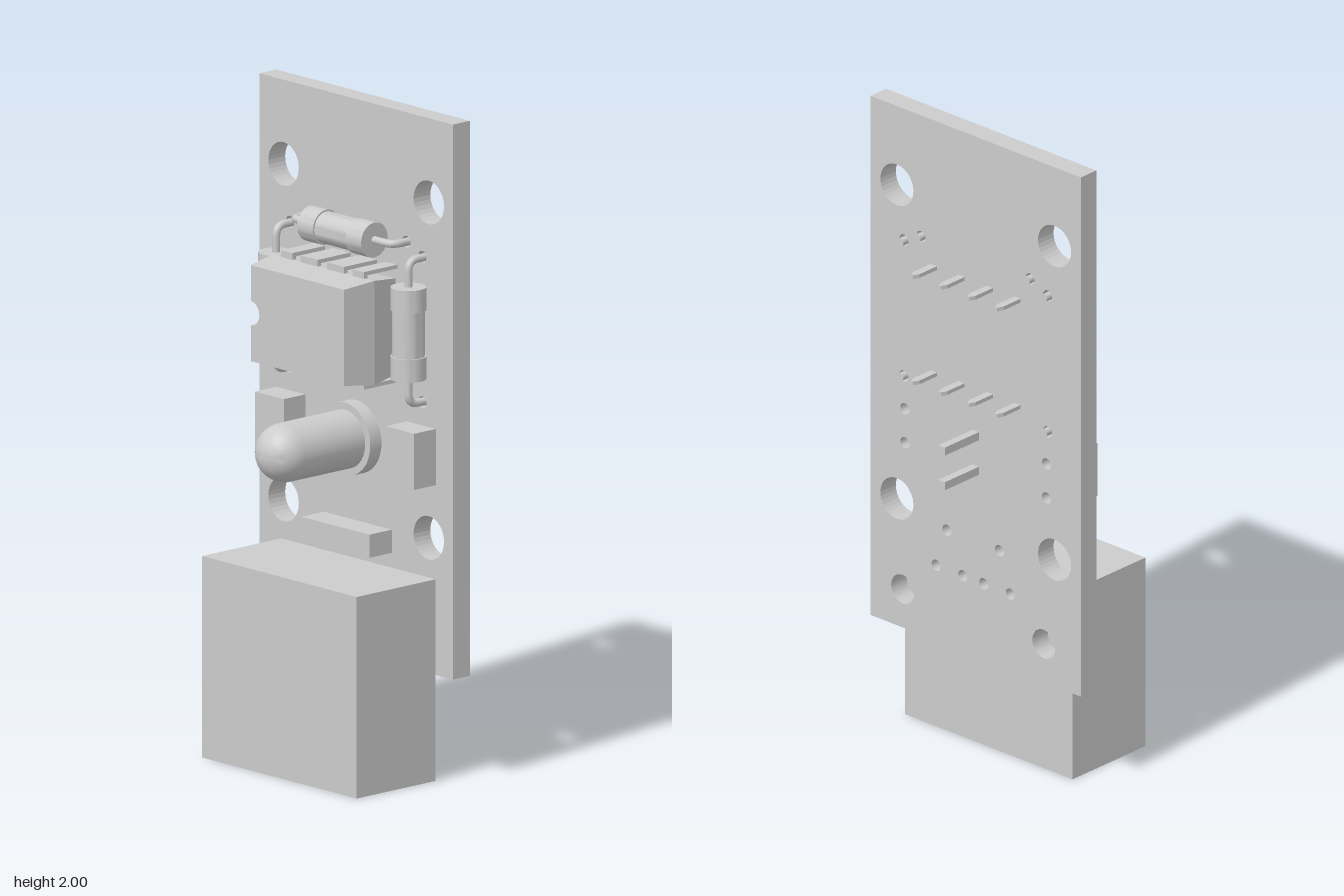
import * as THREE from 'three';
import { toCreasedNormals } from 'three/addons/utils/BufferGeometryUtils.js';

const material = new THREE.MeshStandardMaterial({ color: 0xcccccc });
const BACK = -0.147, FACE = -0.08; // rear and front planes of the board

function add(parent, name, geometry, x = 0, y = 0, z = 0) {
  const mesh = new THREE.Mesh(geometry, material);
  mesh.name = name;
  mesh.position.set(x, y, z);
  parent.add(mesh);
  return mesh;
}

// Box given by its min and max on each axis
function addBox(parent, name, [x0, x1], [y0, y1], [z0, z1]) {
  return add(parent, name, new THREE.BoxGeometry(x1 - x0, y1 - y0, z1 - z0),
    (x0 + x1) / 2, (y0 + y1) / 2, (z0 + z1) / 2);
}

const shapeOf = (points) => new THREE.Shape(points.map(([x, y]) => new THREE.Vector2(x, y)));
const extrude = (shape, depth, curveSegments = 24) =>
  new THREE.ExtrudeGeometry(shape, { depth, bevelEnabled: false, curveSegments });

// Board with mounting holes and drilled solder holes
function makeBoard() {
  const shape = shapeOf([[-0.42, 0.32], [0.42, 0.32], [0.42, 2], [-0.42, 2]]);
  const drill = (x, y, r) => shape.holes.push(new THREE.Path().absarc(x, y, r, 0, Math.PI * 2, true));
  for (const s of [-1, 1]) {
    for (const y of [0.73, 1.745]) drill(s * 0.315, y, 0.066);
    for (const y of [1.135, 1.575]) drill(s * 0.287, y, 0.018);
    for (const y of [0.92, 1.03]) drill(s * 0.283, y, 0.018);
    drill(s * 0.218, 1.608, 0.018);
    drill(0.01 + s * 0.105, 0.69, 0.018);
    drill(0.01 + s * 0.282, 0.444, 0.046);
    for (const x of [0.042, 0.148]) drill(0.01 + s * x, 0.563, 0.018);
  }
  return extrude(shape, FACE - BACK, 16);
}

// Resistor along y, with both leads bent back through the board
function makeResistor() {
  const group = new THREE.Group();
  group.name = 'resistor';
  const profile = [[0, -0.139], [0.053, -0.139], [0.053, -0.07], [0.048, -0.07],
    [0.048, 0.07], [0.053, 0.07], [0.053, 0.139], [0, 0.139]].map((p) => new THREE.Vector2(...p));
  add(group, 'resistorBody', toCreasedNormals(new THREE.LatheGeometry(profile, 32), 0.6));
  const v = (y, z) => new THREE.Vector3(0, y, z);
  const path = new THREE.CurvePath();
  path.add(new THREE.LineCurve3(v(0.135, 0), v(0.185, 0)));
  path.add(new THREE.QuadraticBezierCurve3(v(0.185, 0), v(0.218, 0), v(0.218, -0.033)));
  path.add(new THREE.LineCurve3(v(0.218, -0.033), v(0.218, -0.137)));
  for (const turn of [0, Math.PI]) {
    const lead = new THREE.Group();
    lead.name = 'resistorLead';
    lead.rotation.z = turn;
    add(lead, 'leadWire', new THREE.TubeGeometry(path, 40, 0.012, 12));
    add(lead, 'leadEnd', new THREE.CircleGeometry(0.012, 12), 0, 0.218, -0.137).rotation.y = Math.PI;
    group.add(lead);
  }
  return group;
}

// Tapered layer of the chip housing: scale goes from 1 at one end to the given amount at the other
function chipLayer(shape, depth, scaleBack, scaleFront) {
  const geometry = extrude(shape, depth, 16);
  const p = geometry.attributes.position;
  for (let i = 0; i < p.count; i++) {
    const s = THREE.MathUtils.lerp(scaleBack, scaleFront, p.getZ(i) / depth);
    p.setXY(i, p.getX(i) * s, p.getY(i) * s);
  }
  return toCreasedNormals(geometry, 0.5);
}

function makeChip() {
  const chip = new THREE.Group();
  chip.name = 'chip';
  const w = 0.22, h = 0.158;
  // Lower half is plain, upper half carries the half-round notch
  add(chip, 'chipBase', chipLayer(shapeOf([[-w, -h], [w, -h], [w, h], [-w, h]]), 0.1, 0.92, 1), 0, 0, -0.05);
  const top = shapeOf([[-w, -h], [w, -h], [w, h], [-w, h], [-w, 0.04]]);
  top.absarc(-w, 0, 0.04, Math.PI / 2, -Math.PI / 2, true);
  add(chip, 'chipTop', chipLayer(top, 0.104, 1, 0.92), 0, 0, 0.05);

  // Legs: wide shoulder blade narrowing to a pointed pin
  const t = 0.012;
  for (const side of [-1, 1]) for (const sx of [-1, 1])
    for (const [a, b, c] of [[0.02, 0.095, 0.0565], [0.13, 0.18, 0.167]]) {
      const leg = new THREE.Group();
      leg.name = 'chipLeg';
      const blade = shapeOf([[a, 0.055], [b, 0.055], [b, -0.075], [c + 0.0125, -0.075], [c + 0.0125, -0.222],
        [c + 0.004, -0.241], [c - 0.004, -0.241], [c - 0.0125, -0.222], [c - 0.0125, -0.075], [a, -0.075]]
        .map(([x, z]) => [x * sx, z]));
      const geometry = extrude(blade, t).rotateX(Math.PI / 2);
      add(leg, 'legPin', geometry, 0, side * 0.172 + t / 2, 0);
      const y0 = side * 0.14, y1 = side * 0.17;
      addBox(leg, 'legShoulder', [Math.min(a * sx, b * sx), Math.max(a * sx, b * sx)],
        [Math.min(y0, y1), Math.max(y0, y1)], [0.041, 0.055]);
      chip.add(leg);
    }
  return chip;
}

// Domed lamp pointing forward, with base flange and two square leads
function makeLamp() {
  const lamp = new THREE.Group();
  lamp.name = 'lamp';
  const r = 0.088, domeStart = 0.205;
  const profile = [[0, FACE], [0.11, FACE], [0.11, -0.035], [r, -0.035]].map((p) => new THREE.Vector2(...p));
  for (let i = 0; i <= 12; i++) {
    const a = (i / 12) * Math.PI / 2;
    profile.push(new THREE.Vector2(i === 12 ? 0 : r * Math.cos(a), domeStart + r * Math.sin(a)));
  }
  const body = new THREE.LatheGeometry(profile, 40).rotateX(Math.PI / 2);
  add(lamp, 'lampBody', toCreasedNormals(body, 0.6));
  for (const y of [-0.056, 0.056])
    addBox(lamp, 'lampLead', [-0.013, 0.013], [y - 0.013, y + 0.013], [-0.295, FACE]);
  return lamp;
}

export function createModel() {
  const model = new THREE.Group();
  model.name = 'circuitModule';
  add(model, 'board', makeBoard(), 0, 0, BACK);

  addBox(model, 'connectorBlock', [-0.325, 0.345], [0, 0.61], [FACE, 0.235]);
  addBox(model, 'smallBlock', [-0.14, 0.155], [0.655, 0.725], [FACE, 0.01]);
  for (const x of [-0.283, 0.283])
    addBox(model, 'capacitor', [x - 0.0625, x + 0.0625], [0.895, 1.065], [FACE, 0.006]);

  const lamp = makeLamp();
  lamp.position.y = 0.979;
  const chip = makeChip();
  chip.position.y = 1.354;
  model.add(lamp, chip);

  for (const [x, y, turn] of [[-0.287, 1.355, 0], [0.287, 1.355, 0], [0, 1.608, Math.PI / 2]]) {
    const resistor = makeResistor();
    resistor.position.set(x, y, -0.025);
    resistor.rotation.z = turn;
    model.add(resistor);
  }
  return model;
}
